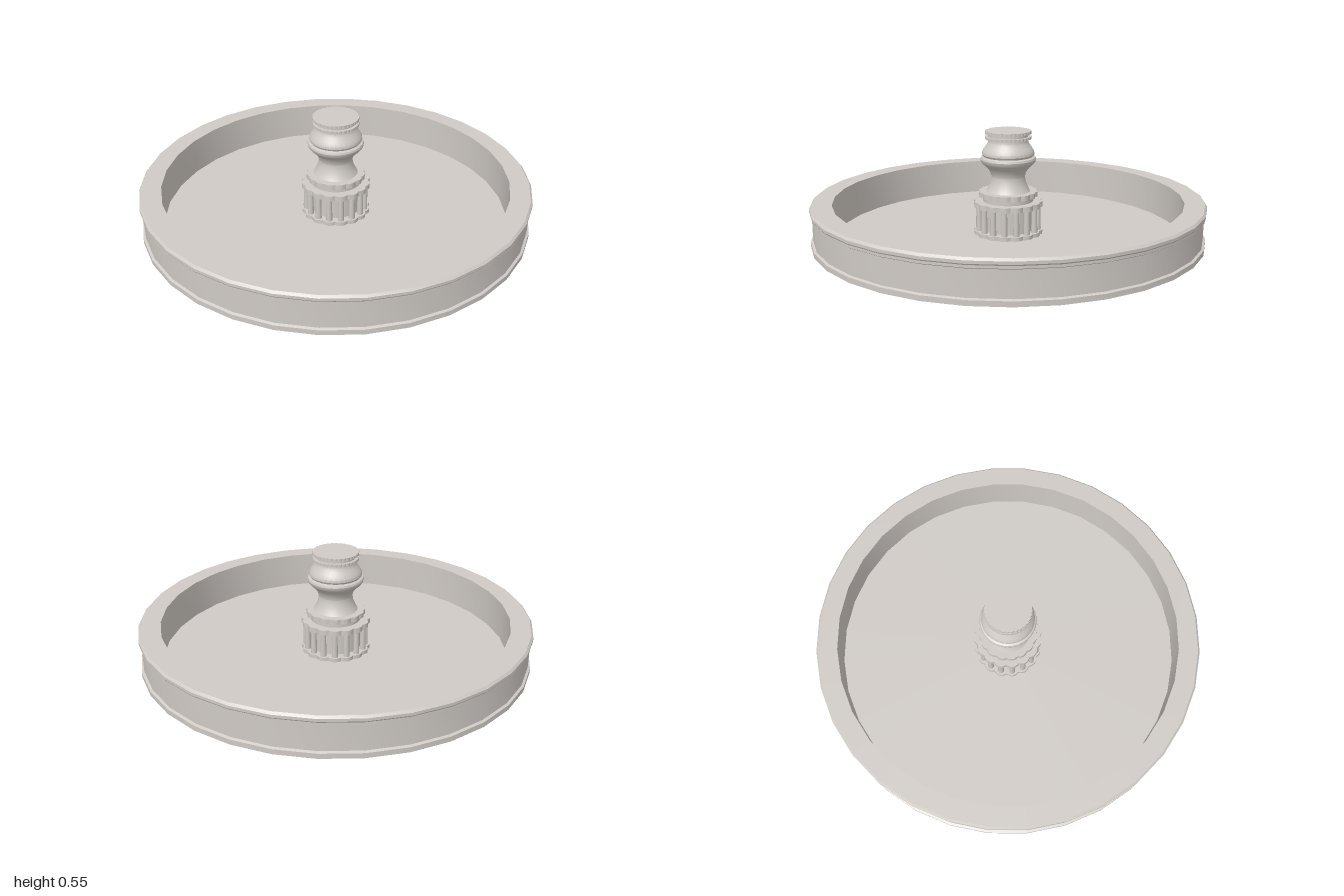
import * as THREE from 'three';
import { toCreasedNormals } from 'three/addons/utils/BufferGeometryUtils.js';

const stone = new THREE.MeshStandardMaterial({ color: 0xcfcac5 });
stone.name = 'pale stone';

export function createModel() {
  const model = new THREE.Group();
  model.name = 'fountain';

  const add = (name, geometry, parent = model) => {
    const mesh = new THREE.Mesh(geometry, stone);
    mesh.name = name;
    parent.add(mesh);
    return mesh;
  };

  // Turned part from [radius, height] points, listed from the bottom up the outside
  const turned = (name, points, sides, start = 0) => {
    const profile = points.map(([r, y]) => new THREE.Vector2(r, y));
    const lathe = new THREE.LatheGeometry(profile, sides, start);
    return add(name, toCreasedNormals(lathe, 0.45));
  };

  // Flat disc with a lobed edge
  const lobedDisc = (name, radius, depth, lobes, bottom, height) => {
    const outline = [];
    const steps = lobes * 8;
    for (let i = 0; i < steps; i++) {
      const a = (i / steps) * Math.PI * 2;
      const r = radius - depth * (1 - Math.abs(Math.cos((a * lobes) / 2)));
      outline.push(new THREE.Vector2(Math.cos(a) * r, Math.sin(a) * r));
    }
    const geometry = new THREE.ExtrudeGeometry(new THREE.Shape(outline), {
      depth: height, bevelEnabled: false,
    });
    geometry.rotateX(-Math.PI / 2).translate(0, bottom, 0);
    return add(name, toCreasedNormals(geometry, 0.45));
  };

  // Basin: foot lip, recessed wall, stepped rim, inner wall, floor
  turned('basin', [
    [0, 0], [1, 0], [1, 0.025], [0.988, 0.03], [0.988, 0.155],
    [0.996, 0.16], [0.996, 0.172], [1, 0.178], [1, 0.192], [0.99, 0.203],
    [0.89, 0.203], [0.89, 0.01], [0, 0.01],
  ], 32, THREE.MathUtils.degToRad(8.4));

  // Pedestal: drum ringed by small columns between two lobed slabs
  lobedDisc('pedestalBase', 0.178, 0.012, 16, 0.008, 0.022);
  turned('pedestalDrum', [[0.13, 0.02], [0.13, 0.21]], 32);
  const columns = new THREE.Group();
  columns.name = 'columns';
  model.add(columns);
  const shaft = new THREE.CylinderGeometry(0.014, 0.016, 0.13, 10);
  for (let i = 0; i < 16; i++) {
    const a = (i / 16) * Math.PI * 2;
    const column = add('column', shaft, columns);
    column.position.set(Math.cos(a) * 0.153, 0.093, Math.sin(a) * 0.153);
  }
  lobedDisc('pedestalTop', 0.178, 0.012, 16, 0.155, 0.027);
  lobedDisc('vaseFoot', 0.152, 0.008, 16, 0.207, 0.026);

  // Vase: waisted lower body, central band and rounded shoulder
  turned('vase', [
    [0.115, 0.23], [0.106, 0.245], [0.092, 0.275], [0.086, 0.31],
    [0.093, 0.335], [0.11, 0.357], [0.133, 0.378],
    [0.14, 0.388], [0.143, 0.4], [0.14, 0.41], [0.128, 0.415],
    [0.134, 0.425], [0.133, 0.438], [0.122, 0.457], [0.109, 0.475],
    [0.102, 0.49], [0.102, 0.535],
  ], 32);

  // Cap: two thin toothed discs with a groove between
  lobedDisc('lowerCapDisc', 0.118, 0.004, 32, 0.503, 0.013);
  lobedDisc('upperCapDisc', 0.118, 0.004, 32, 0.53, 0.015);

  return model;
}
